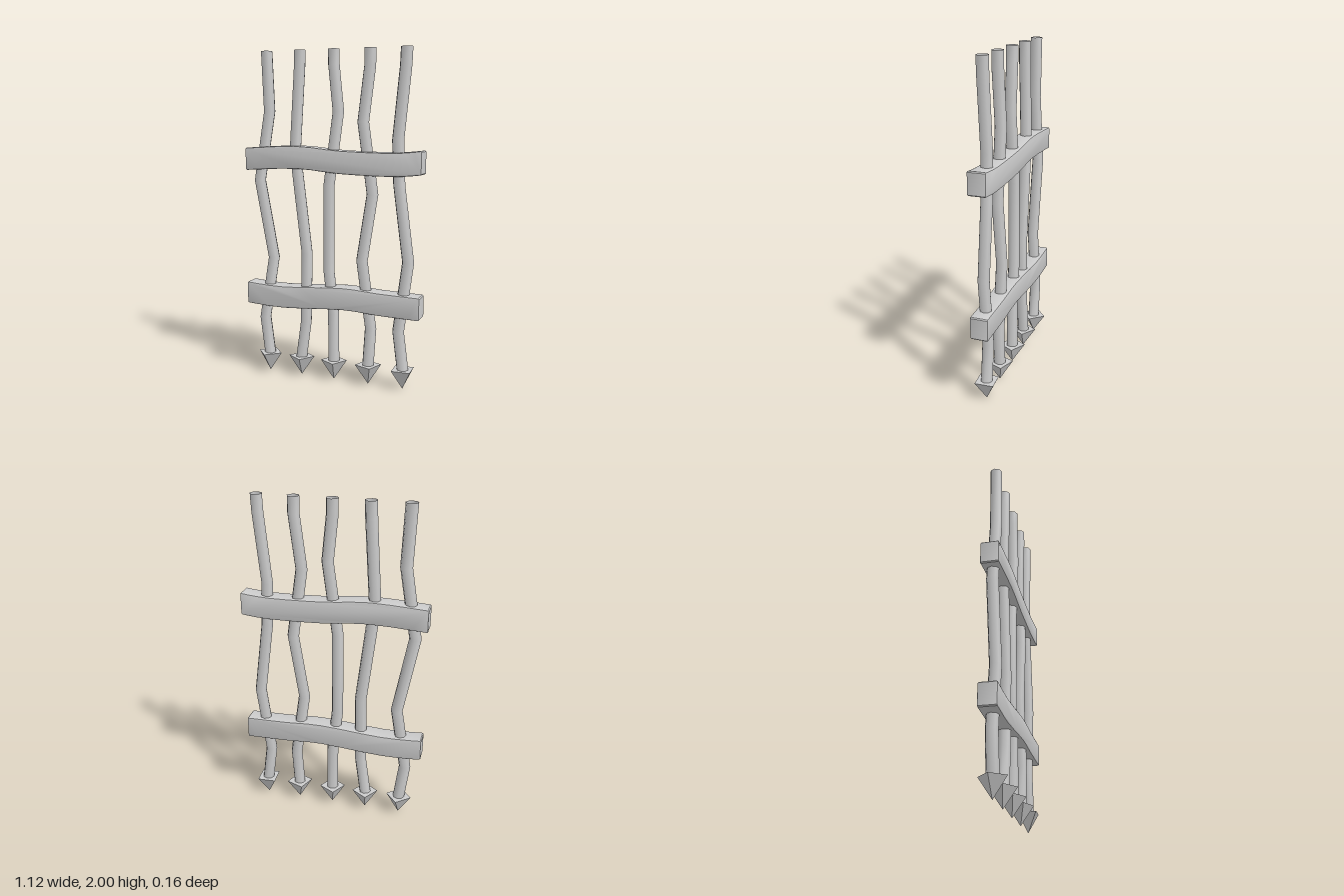
import * as THREE from 'three';
import { toCreasedNormals } from 'three/addons/utils/BufferGeometryUtils.js';

const ROD_R = 0.036, SPIKE_H = 0.12, BEAM_H = 0.136, BEAM_D = 0.108, BEVEL = 0.008;

// Bent rods: [x, y] of each kink from top to bottom, and the turn of the spike in degrees
const RODS = [
  { turn: -4, path: [[-0.43, 2], [-0.415, 1.64], [-0.485, 1.22], [-0.395, 0.74], [-0.46, 0.35], [-0.43, 0.12]] },
  { turn: 12, path: [[-0.21, 2], [-0.213, 1.9], [-0.245, 1.4], [-0.17, 0.78], [-0.178, 0.35], [-0.21, 0.12]] },
  { turn: 16, path: [[0.007, 2], [0.007, 1.91], [0.035, 1.64], [-0.025, 1.2], [-0.025, 0.68], [0.005, 0.42], [0.007, 0.12]] },
  { turn: 24, path: [[0.23, 2], [0.23, 1.9], [0.19, 1.58], [0.25, 1.16], [0.187, 0.76], [0.245, 0.35], [0.23, 0.12]] },
  { turn: 48, path: [[0.447, 2], [0.443, 1.9], [0.402, 1.48], [0.412, 1.22], [0.472, 0.77], [0.417, 0.35], [0.447, 0.12]] },
];

// Wavy centre lines of the two cross beams
const BEAMS = {
  upperBeam: [[-0.56, 1.352], [-0.22, 1.368], [0.06, 1.345], [0.38, 1.338], [0.556, 1.352]],
  lowerBeam: [[-0.56, 0.51], [-0.31, 0.5], [0.07, 0.525], [0.3, 0.514], [0.556, 0.508]],
};

const grey = new THREE.MeshStandardMaterial({ color: 0xcccccc });
const greyOpen = new THREE.MeshStandardMaterial({ color: 0xcccccc, side: THREE.DoubleSide });
const greyFlat = new THREE.MeshStandardMaterial({ color: 0xcccccc, flatShading: true });

function part(name, geometry, material) {
  const mesh = new THREE.Mesh(geometry, material);
  mesh.name = name;
  return mesh;
}

// Open eight-sided tube whose level rings are shifted onto the kinks
function rodGeometry(path) {
  const n = path.length - 1;
  const geo = new THREE.CylinderGeometry(ROD_R, ROD_R, n, 8, n, true);
  const pos = geo.attributes.position;
  for (let i = 0; i < pos.count; i++) {
    const [x, y] = path[Math.round(n / 2 - pos.getY(i))];
    pos.setX(i, pos.getX(i) + x);
    pos.setY(i, y);
  }
  return toCreasedNormals(geo, 0.9);
}

// Wavy band with softened edges and ends
function beamGeometry(points) {
  const line = new THREE.SplineCurve(points.map(([x, y]) => new THREE.Vector2(x, y))).getPoints(12);
  const h = BEAM_H / 2, c = 0.006, last = line.length - 1;
  const edge = (side) => line.map((p, i) => new THREE.Vector2(
    p.x + (i === 0 ? c : i === last ? -c : 0), p.y + side * h));
  const a = line[0], b = line[last];
  const outline = [
    ...edge(-1),
    new THREE.Vector2(b.x, b.y - h + c), new THREE.Vector2(b.x, b.y + h - c),
    ...edge(1).reverse(),
    new THREE.Vector2(a.x, a.y + h - c), new THREE.Vector2(a.x, a.y - h + c),
  ];
  const geo = new THREE.ExtrudeGeometry(new THREE.Shape(outline), {
    depth: BEAM_D - 2 * BEVEL, bevelEnabled: true, bevelThickness: BEVEL,
    bevelSize: BEVEL, bevelOffset: -BEVEL, bevelSegments: 2,
  });
  geo.translate(0, 0, -BEAM_D / 2 + BEVEL);
  return toCreasedNormals(geo, 0.5);
}

export function createModel() {
  const gate = new THREE.Group();
  gate.name = 'spikedGate';

  // Upright bars, each with a four-sided spike pointing down
  RODS.forEach(({ path, turn }, i) => {
    const bar = new THREE.Group();
    bar.name = `bar${i + 1}`;
    const spike = part('spike', new THREE.CylinderGeometry(0.08, 0, SPIKE_H, 4), greyFlat);
    spike.position.set(path[path.length - 1][0], SPIKE_H / 2, 0);
    spike.rotation.y = THREE.MathUtils.degToRad(turn);
    bar.add(part('rod', rodGeometry(path), greyOpen), spike);
    gate.add(bar);
  });

  // Cross beams
  for (const [name, points] of Object.entries(BEAMS)) gate.add(part(name, beamGeometry(points), grey));

  return gate;
}
